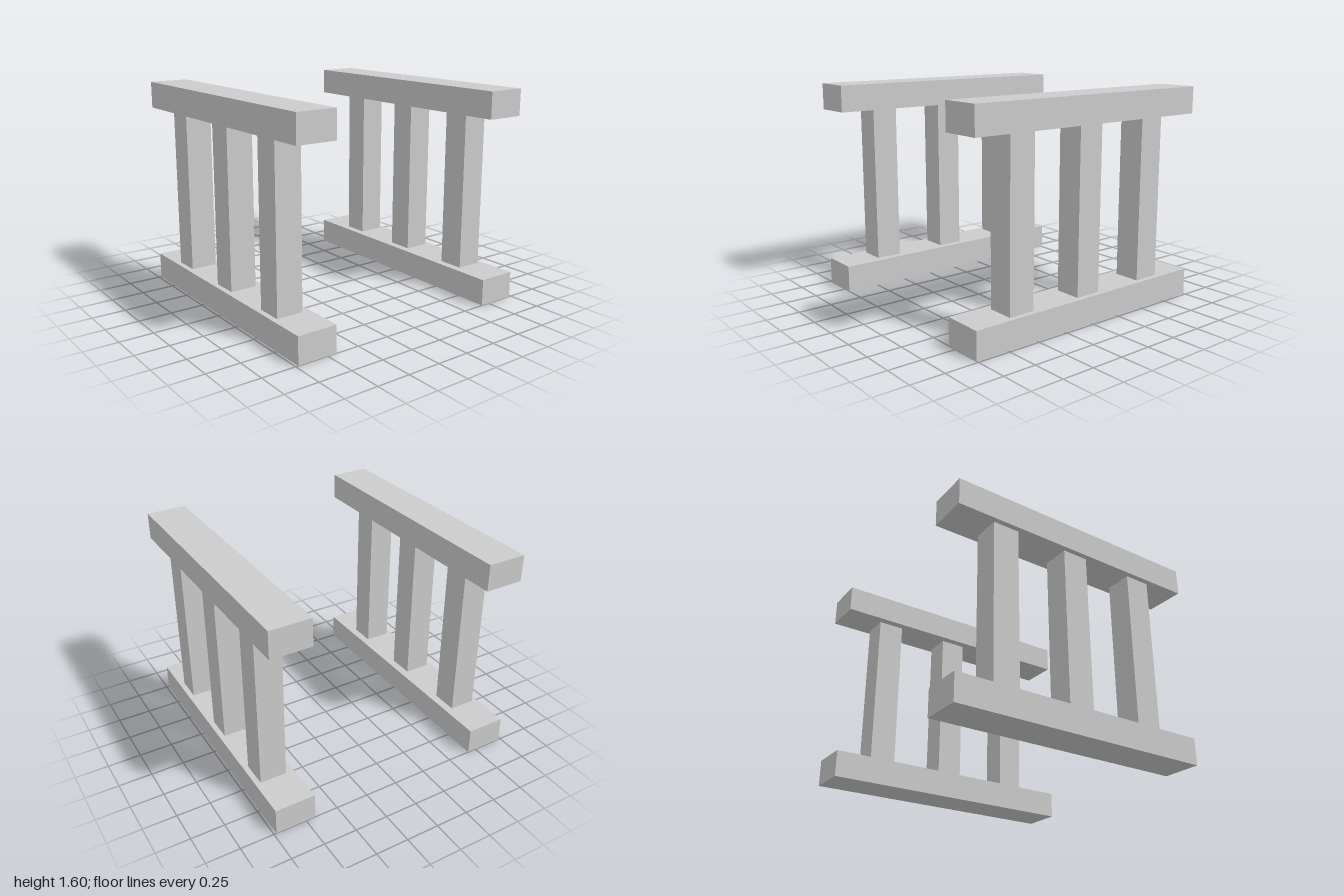
import * as THREE from 'three';

const RAIL = { width: 0.3, height: 0.2, length: 2, x: 0.83 };
const POST = { size: 0.2, height: 1.2, x: 0.84 };

export function createModel() {
  const model = new THREE.Group();
  model.name = 'railings';
  const material = new THREE.MeshStandardMaterial({ color: 0xcccccc, flatShading: true });
  const railGeometry = new THREE.BoxGeometry(RAIL.width, RAIL.height, RAIL.length);
  const postGeometry = new THREE.BoxGeometry(POST.size, POST.height, POST.size);

  const addPart = (parent, name, geometry, x, y, z) => {
    const mesh = new THREE.Mesh(geometry, material);
    mesh.name = name;
    mesh.position.set(x, y, z);
    parent.add(mesh);
  };

  // Two mirrored railings
  for (const [side, sign] of [['left', 1], ['right', -1]]) {
    const railing = new THREE.Group();
    railing.name = `${side}Railing`;

    // Bottom and top rails
    addPart(railing, 'bottomRail', railGeometry, sign * RAIL.x, RAIL.height / 2, 0);
    addPart(railing, 'topRail', railGeometry, sign * RAIL.x, RAIL.height * 1.5 + POST.height, 0);

    // Three square posts between the rails
    for (const [name, z] of [['frontPost', 0.6], ['middlePost', 0], ['backPost', -0.6]]) {
      addPart(railing, name, postGeometry, sign * POST.x, RAIL.height + POST.height / 2, z);
    }
    model.add(railing);
  }
  return model;
}
